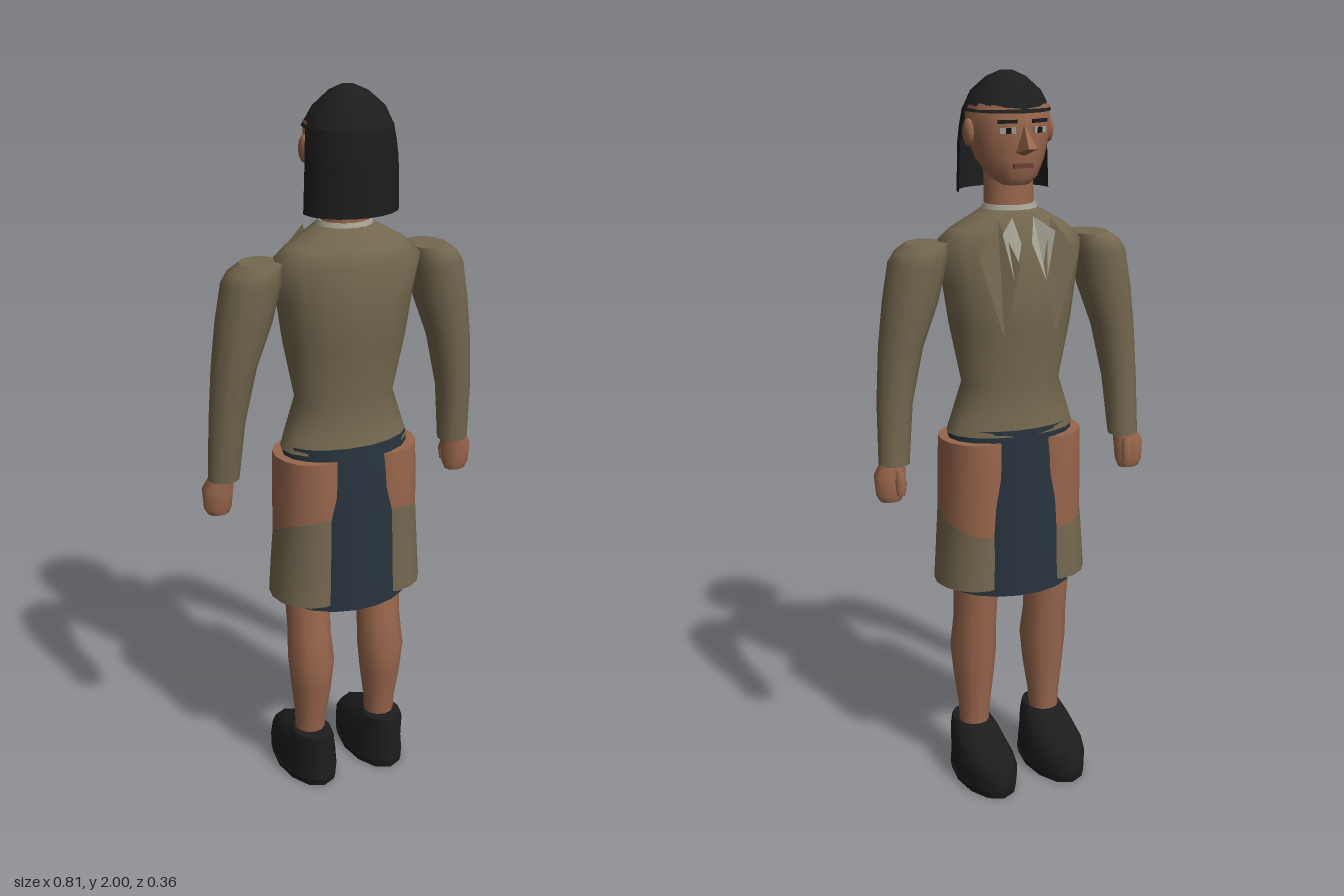
import * as THREE from 'three';

const mat = (name, color, side = THREE.FrontSide) => {
  const m = new THREE.MeshStandardMaterial({ color, side });
  m.name = name;
  return m;
};

// Stacks elliptical rings [y, cx, cz, rx, rz, tilt] from low to high; angles run from +x towards +z.
function loft(rings, { seg = 16, from = 0, to = Math.PI * 2, cap = true } = {}) {
  const full = to - from > 6.28;
  const n = full ? seg : seg + 1;
  const pos = [], idx = [];
  const point = ([y, cx, cz, rx, rz, tilt = 0], j) => {
    const a = from + ((to - from) * j) / seg;
    const dz = rz * Math.sin(a);
    return [cx + rx * Math.cos(a), y + tilt * dz, cz + dz];
  };
  rings.forEach((r) => { for (let j = 0; j < n; j++) pos.push(...point(r, j)); });
  for (let i = 0; i < rings.length - 1; i++) {
    for (let j = 0; j < seg; j++) {
      const a = i * n + j, b = i * n + ((j + 1) % n), c = a + n, d = b + n;
      idx.push(a, c, b, b, c, d);
    }
  }
  if (cap) {
    [rings[0], rings[rings.length - 1]].forEach((r, top) => {
      const start = pos.length / 3;
      pos.push(r[1], r[0], r[2]);
      for (let j = 0; j < n; j++) pos.push(...point(r, j));
      for (let j = 0; j < seg; j++) {
        const a = start + 1 + j, b = start + 1 + ((j + 1) % n);
        if (top) idx.push(start, b, a); else idx.push(start, a, b);
      }
    });
  }
  const g = new THREE.BufferGeometry();
  g.setAttribute('position', new THREE.Float32BufferAttribute(pos, 3));
  g.setIndex(idx);
  g.computeVertexNormals();
  return g;
}

// Flat facets through corner points, drawn as a fan.
function fan(points, tris) {
  const g = new THREE.BufferGeometry();
  g.setAttribute('position', new THREE.Float32BufferAttribute(tris.flatMap((i) => points[i]), 3));
  g.computeVertexNormals();
  return g;
}

export function createModel() {
  const skin = mat('skin', 0x98664c);
  const jacket = mat('jacket brown', 0x74684f);
  const lapelCloth = mat('lapel brown', 0x74684f, THREE.DoubleSide);
  const navy = mat('skirt navy', 0x28333d);
  const black = mat('hair and shoe black', 0x1d1d1d, THREE.DoubleSide);
  const shirt = mat('shirt grey white', 0xa5a294, THREE.DoubleSide);
  const eyeDark = mat('eye dark', 0x141210);
  const lip = mat('lip', 0x6b4034);

  const model = new THREE.Group();
  model.name = 'standingFigure';
  const add = (name, geometry, material) => {
    const m = new THREE.Mesh(geometry, material);
    m.name = name;
    model.add(m);
    return m;
  };

  // Head and neck
  add('neck', loft([[1.62, 0, 0.04, 0.068, 0.06], [1.78, 0, 0.045, 0.066, 0.06]]), skin);
  add('head', loft([
    [1.715, 0, 0.005, 0.04, 0.04], [1.735, 0, 0.012, 0.065, 0.062], [1.78, 0, 0.035, 0.092, 0.092],
    [1.84, 0, 0.045, 0.109, 0.106], [1.91, 0, 0.05, 0.112, 0.108], [1.95, 0, 0.055, 0.085, 0.08],
  ]), skin);
  add('nose', fan(
    [[0, 1.875, -0.056], [-0.022, 1.8, -0.05], [0.022, 1.8, -0.05], [-0.012, 1.815, -0.113], [0.012, 1.815, -0.113], [0, 1.79, -0.05]],
    [0, 4, 3, 0, 3, 1, 0, 2, 4, 1, 3, 5, 3, 4, 5, 4, 2, 5],
  ), skin);
  add('mouth', new THREE.BoxGeometry(0.055, 0.012, 0.008), lip).position.set(0, 1.767, -0.053);

  // Hair: crown above the fringe, long shell down the back
  add('hairCrown', loft([
    [1.9, 0, 0.055, 0.117, 0.12], [1.95, 0, 0.06, 0.092, 0.09], [1.985, 0, 0.058, 0.052, 0.052], [2, 0, 0.055, 0.018, 0.02],
  ]), black);
  add('hairBack', loft([
    [1.69, 0, 0.07, 0.13, 0.105], [1.82, 0, 0.07, 0.125, 0.112], [1.86, 0, 0.065, 0.122, 0.112], [1.905, 0, 0.055, 0.116, 0.12],
  ], { seg: 10, to: Math.PI, cap: false }), black);

  // Torso
  add('torso', loft([
    [1.045, 0, 0.036, 0.184, 0.113], [1.09, 0, 0.034, 0.17, 0.105], [1.18, 0, 0.033, 0.14, 0.095],
    [1.34, 0, 0.035, 0.172, 0.12], [1.46, 0, 0.038, 0.19, 0.126], [1.56, 0, 0.045, 0.212, 0.11],
    [1.6, 0, 0.042, 0.165, 0.1], [1.65, 0, 0.036, 0.076, 0.072],
  ], { seg: 18 }), jacket);
  add('collar', loft([[1.64, 0, 0.037, 0.08, 0.074], [1.662, 0, 0.037, 0.071, 0.066]]), shirt);

  // Skirt core, wide at the hem
  add('skirt', loft([
    [0.588, 0, 0.04, 0.18, 0.139], [0.85, 0, 0.04, 0.18, 0.131], [1.02, 0, 0.038, 0.18, 0.117], [1.062, 0, 0.037, 0.178, 0.113],
  ], { seg: 18 }), navy);

  for (const s of [-1, 1]) {
    const side = s > 0 ? 'left' : 'right';
    const put = (name, rings, material, opt) =>
      add(side + name, loft(rings.map(([y, x, ...r]) => [y, s * x, ...r]), opt), material);

    // Hips: bare above, brown cloth below a slanted edge
    put('HipCloth', [
      [0.608, 0.112, 0.04, 0.109, 0.119], [0.7, 0.108, 0.04, 0.107, 0.118], [0.815, 0.104, 0.04, 0.103, 0.115, 0.45],
    ], jacket);
    put('HipSkin', [
      [0.815, 0.104, 0.04, 0.103, 0.115, 0.45], [0.93, 0.102, 0.039, 0.104, 0.118], [1.03, 0.1, 0.038, 0.104, 0.112],
    ], skin);

    // Legs
    put('Leg', [
      [0.13, 0.112, 0.042, 0.042, 0.042], [0.2, 0.111, 0.044, 0.045, 0.046], [0.3, 0.11, 0.049, 0.058, 0.06],
      [0.39, 0.11, 0.05, 0.066, 0.07], [0.48, 0.11, 0.036, 0.062, 0.062], [0.62, 0.11, 0.023, 0.066, 0.06],
    ], skin, { seg: 12 });

    // Shoes: thin sole, then an upper sloping down to the toe
    put('Sole', [[0, 0.108, -0.015, 0.08, 0.15], [0.022, 0.108, -0.015, 0.084, 0.156]], black, { seg: 12 });
    put('Shoe', [
      [0.022, 0.108, -0.016, 0.082, 0.158], [0.06, 0.108, -0.02, 0.082, 0.158], [0.095, 0.11, -0.008, 0.077, 0.145],
      [0.13, 0.112, 0.03, 0.068, 0.103], [0.158, 0.113, 0.062, 0.054, 0.068],
    ], black, { seg: 12 });

    // Sleeves
    put('Sleeve', [
      [0.985, 0.347, 0.02, 0.043, 0.04], [1.15, 0.337, 0.032, 0.049, 0.049], [1.3, 0.315, 0.036, 0.06, 0.062],
      [1.42, 0.285, 0.037, 0.075, 0.075], [1.52, 0.263, 0.038, 0.078, 0.081], [1.55, 0.251, 0.038, 0.07, 0.077],
      [1.57, 0.235, 0.04, 0.055, 0.065],
    ], jacket, { seg: 12 });

    // Hands with a thumb on the forward side
    put('Hand', [
      [0.885, 0.362, 0.012, 0.03, 0.024], [0.905, 0.363, 0.012, 0.04, 0.032], [0.96, 0.362, 0.014, 0.045, 0.034],
      [1.0, 0.35, 0.018, 0.032, 0.028],
    ], skin, { seg: 10 });
    put('Thumb', [
      [0.905, 0.342, -0.018, 0.012, 0.01], [0.935, 0.342, -0.02, 0.016, 0.014], [0.975, 0.345, -0.01, 0.013, 0.012],
    ], skin, { seg: 8 });

    // Lapel kite and shirt collar point
    add(side + 'Lapel', fan(
      [[s * 0.075, 1.63, -0.06], [s * 0.14, 1.54, -0.09], [s * 0.075, 1.33, -0.1], [s * 0.033, 1.52, -0.108]],
      s > 0 ? [0, 1, 2, 0, 2, 3] : [0, 2, 1, 0, 3, 2],
    ), lapelCloth);
    add(side + 'CollarPoint', fan(
      [[s * 0.03, 1.635, -0.05], [s * 0.075, 1.6, -0.09], [s * 0.045, 1.47, -0.104], [s * 0.015, 1.57, -0.075]],
      s > 0 ? [0, 1, 2, 0, 2, 3] : [0, 2, 1, 0, 3, 2],
    ), shirt);

    // Ears, eyes and brows
    const ear = add(side + 'Ear', new THREE.SphereGeometry(1, 10, 6), skin);
    ear.scale.set(0.014, 0.036, 0.024);
    ear.position.set(s * 0.113, 1.848, 0.042);
    const plate = (name, w, h, x, y, z, m) => {
      const p = add(side + name, new THREE.BoxGeometry(w, h, 0.008), m);
      p.position.set(s * x, y, z);
      p.rotation.y = -s * 0.36;
    };
    plate('EyeWhite', 0.04, 0.015, 0.044, 1.857, -0.054, shirt);
    plate('Pupil', 0.015, 0.015, 0.043, 1.857, -0.057, eyeDark);
    plate('Brow', 0.05, 0.009, 0.045, 1.88, -0.055, black);
  }
  return model;
}
